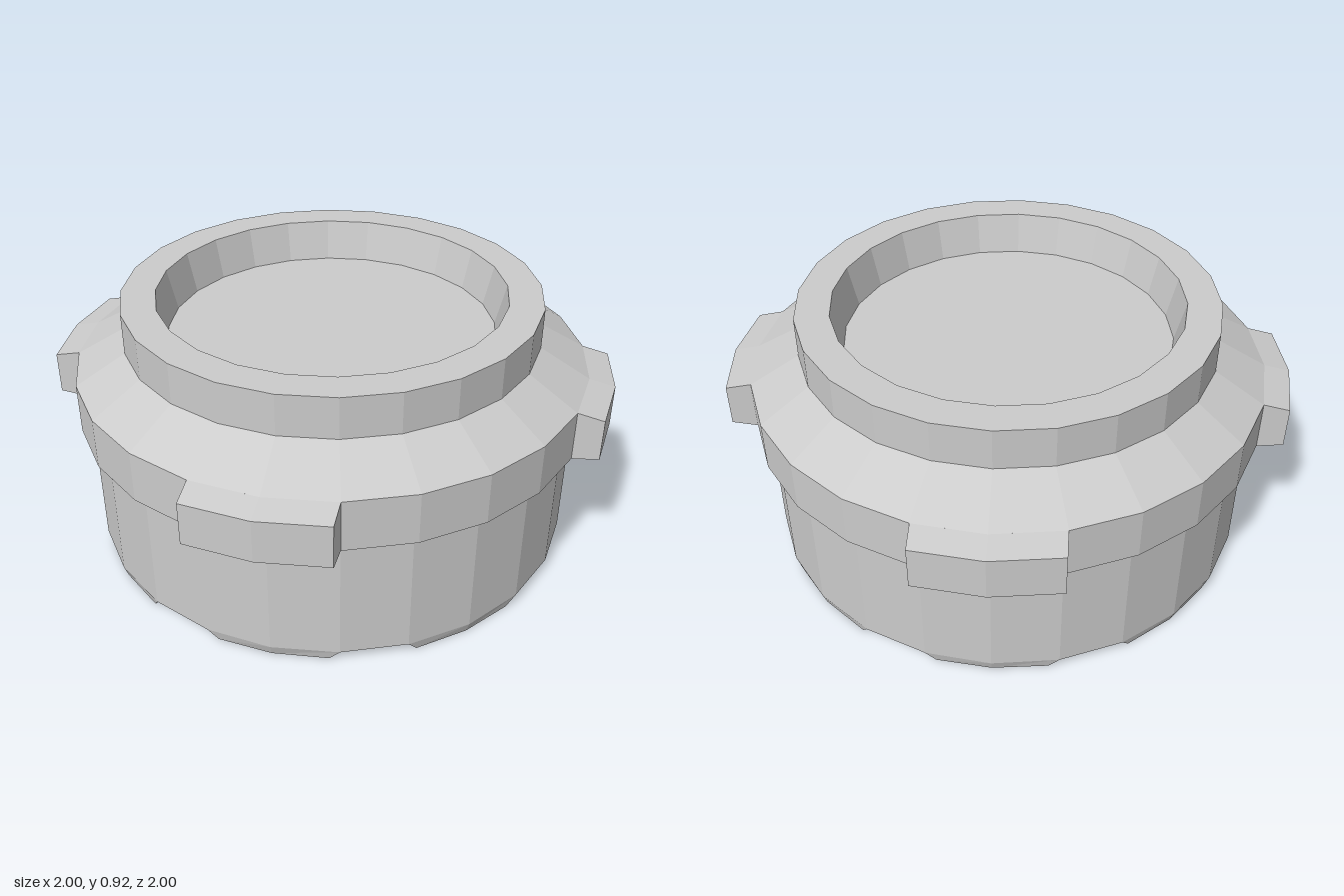
import * as THREE from 'three';

const SIDES = 24;
const STEP = (Math.PI * 2) / SIDES;

// Closed solid through a row of four-cornered sections:
// outer bottom, outer top, inner top, inner bottom
function loft(sections) {
  const pos = [];
  const tri = (...pts) => pts.forEach((p) => pos.push(...p));
  for (let i = 0; i < sections.length - 1; i++) {
    const a = sections[i], b = sections[i + 1];
    for (let k = 0; k < 4; k++) {
      const n = (k + 1) % 4;
      tri(a[k], b[k], b[n]);
      tri(a[k], b[n], a[n]);
    }
  }
  const s = sections[0], e = sections[sections.length - 1];
  tri(s[0], s[1], s[2]);
  tri(s[0], s[2], s[3]);
  tri(e[0], e[2], e[1]);
  tri(e[0], e[3], e[2]);
  const geo = new THREE.BufferGeometry();
  geo.setAttribute('position', new THREE.Float32BufferAttribute(pos, 3));
  geo.computeVertexNormals();
  return geo;
}

export function createModel() {
  const model = new THREE.Group();
  model.name = 'collar';
  const material = new THREE.MeshStandardMaterial({ color: 0xcccccc, flatShading: true });

  // Repeats a geometry evenly around the vertical axis
  const ring = (name, geometry, count) => {
    const group = new THREE.Group();
    group.name = name + 's';
    for (let i = 0; i < count; i++) {
      const mesh = new THREE.Mesh(geometry, material);
      mesh.name = name;
      mesh.rotation.y = (i * Math.PI * 2) / count;
      group.add(mesh);
    }
    model.add(group);
  };

  // Body: hollow skirt, flange, sloped shoulder and recessed top rim
  const profile = [
    [0, 0.49], [0.79, 0.49], [0.79, 0.04], [0.87, 0.04], [0.87, 0.495], [0.91, 0.495],
    [0.91, 0.675], [0.735, 0.775], [0.735, 0.92], [0.615, 0.92], [0.58, 0.775], [0, 0.775],
  ].map(([r, y]) => new THREE.Vector2(r, y));
  const body = new THREE.Mesh(new THREE.LatheGeometry(profile, SIDES), material);
  body.name = 'body';
  model.add(body);

  // Four tabs on the flange, slightly tapered outwards
  const tab = loft([-1, 0, 1].map((s) => {
    const x = 0.235 * s;
    const inner = s ? 0.879 : 0.91;
    const outer = s ? 0.97 : 1;
    return [[x, 0.505, outer], [x, 0.655, outer], [x, 0.675, inner], [x, 0.495, inner]];
  }));
  ring('tab', tab, 4);

  // Eight bevelled teeth under the skirt, each two sides wide
  const polar = (r, y, a) => [r * Math.sin(a), y, r * Math.cos(a)];
  const tooth = loft([-1, 0, 1].map((s) => {
    const top = s * STEP, low = s * STEP * 0.85;
    return [polar(0.856, 0, low), polar(0.87, 0.04, top), polar(0.79, 0.04, top), polar(0.79, 0, low)];
  }));
  ring('tooth', tooth, 8);

  return model;
}
